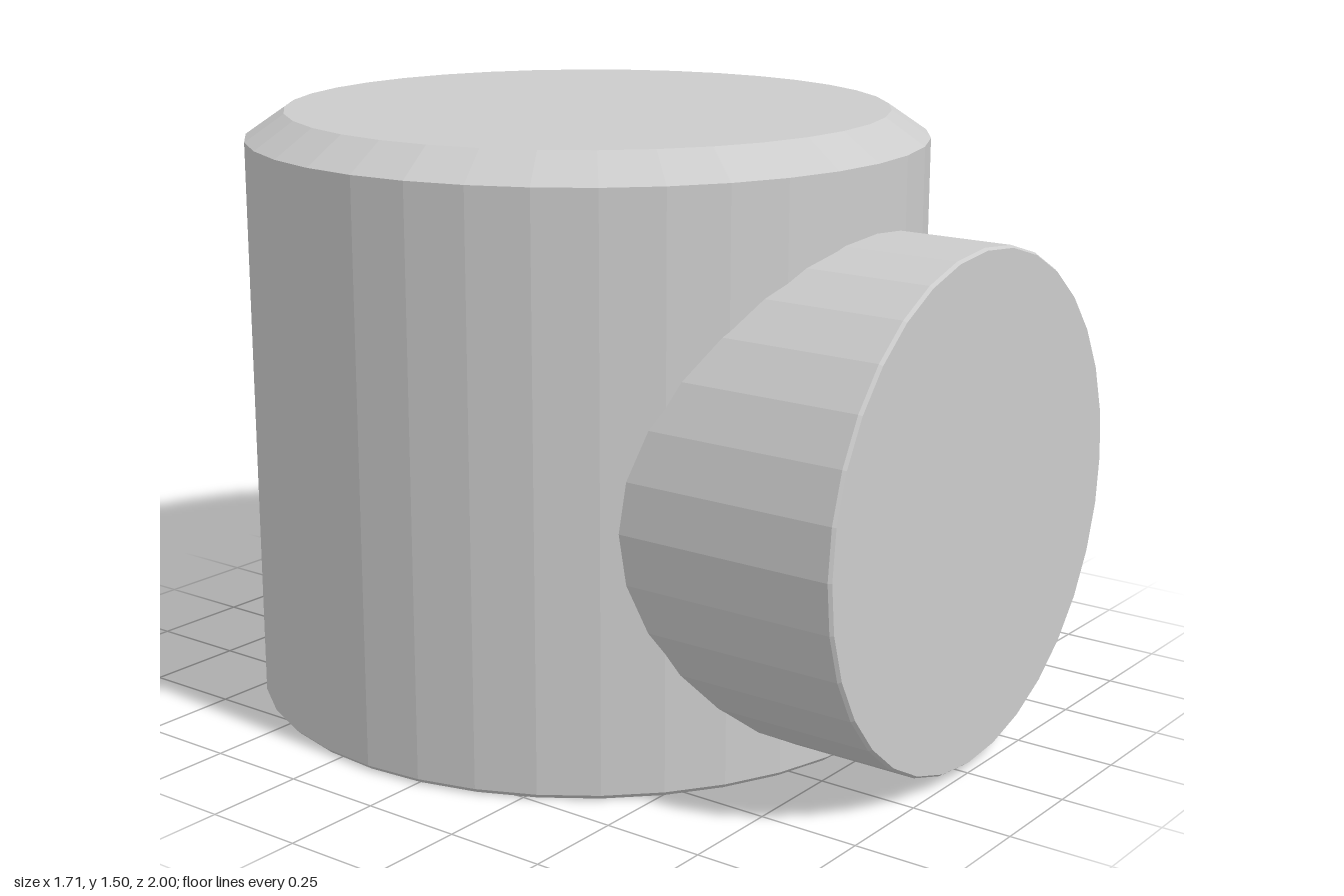
import * as THREE from 'three';

const BODY_R = 0.855, BODY_Z = -0.145;
const PIPE_R = 0.625, PIPE_Y = 0.645;

const lathe = (points, sides) =>
  new THREE.LatheGeometry(points.map(([r, y]) => new THREE.Vector2(r, y)), sides);

export function createModel() {
  const group = new THREE.Group();
  const material = new THREE.MeshStandardMaterial({ color: 0xcccccc, flatShading: true });

  // Upright drum with a chamfered top rim and a tiny bottom bevel
  const body = new THREE.Mesh(lathe([
    [0, 0], [BODY_R - 0.012, 0], [BODY_R, 0.012],
    [BODY_R, 1.433], [0.757, 1.5], [0, 1.5],
  ], 36), material);
  body.name = 'body';
  body.position.z = BODY_Z;
  group.add(body);

  // Horizontal pipe stub, closed at the front
  const geometry = lathe([
    [PIPE_R, 0], [PIPE_R, 0.992], [PIPE_R - 0.006, 1], [0, 1],
  ], 32);
  geometry.rotateX(Math.PI / 2);

  // Fit the open rear edge to the curve of the drum, slightly sunk in
  const position = geometry.attributes.position;
  for (let i = 0; i < position.count; i++) {
    if (Math.abs(position.getZ(i)) < 0.001) {
      const x = position.getX(i);
      position.setZ(i, BODY_Z + Math.sqrt(BODY_R ** 2 - x ** 2) - 0.02);
    }
  }
  const pipe = new THREE.Mesh(geometry, material);
  pipe.name = 'pipeStub';
  pipe.position.y = PIPE_Y;
  group.add(pipe);

  return group;
}
